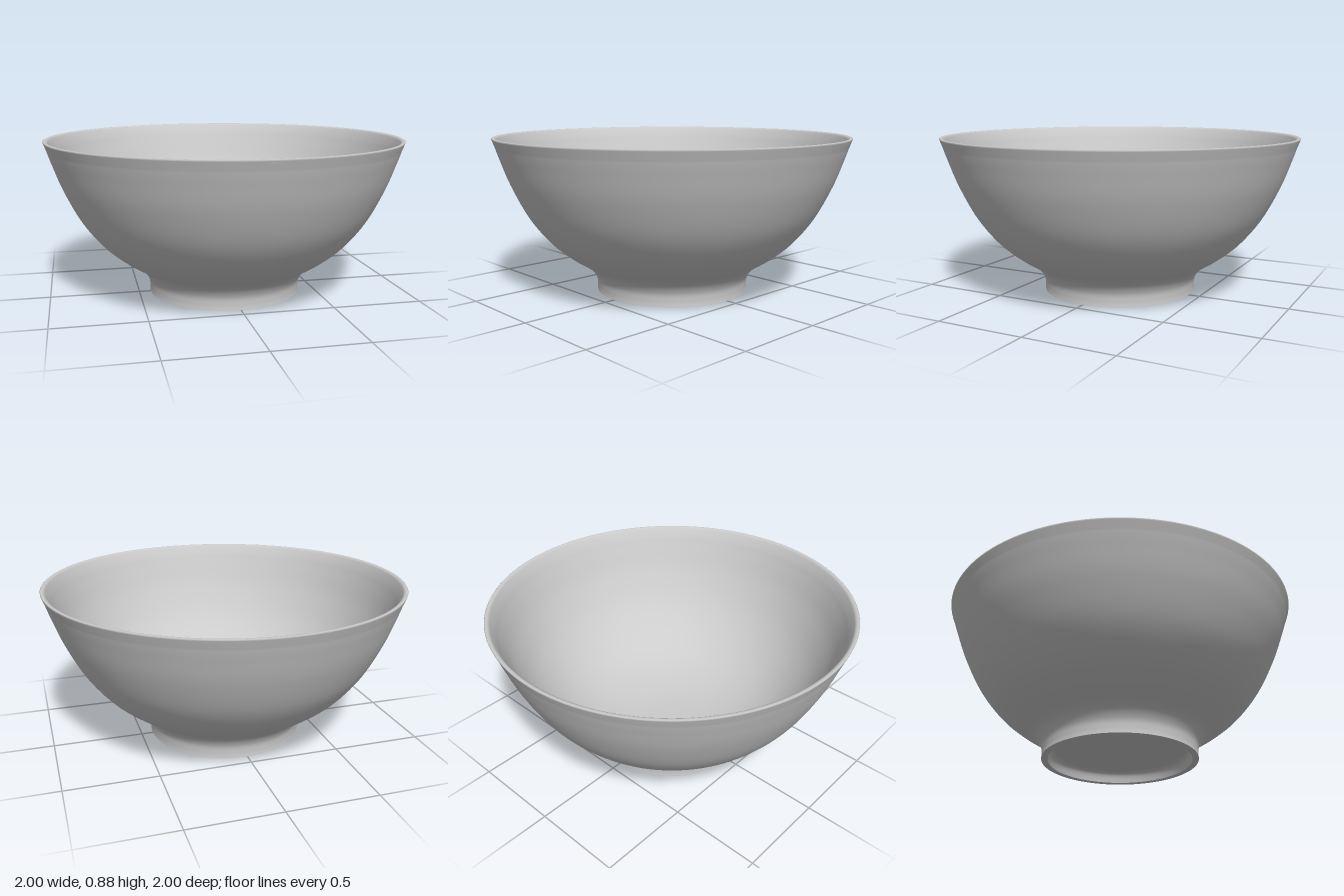
import * as THREE from 'three';

const v = (x, y) => new THREE.Vector2(x, y);
const spline = (pairs, n) => new THREE.SplineCurve(pairs.map(([x, y]) => v(x, y))).getPoints(n);

export function createModel() {
  const group = new THREE.Group();
  const material = new THREE.MeshStandardMaterial({ color: 0xcccccc });
  const add = (name, points) => {
    const mesh = new THREE.Mesh(new THREE.LatheGeometry(points, 128), material);
    mesh.name = name;
    group.add(mesh);
  };

  // Recessed underside, curving down to the foot ring
  add('underside', [v(0, 0.065), v(0.36, 0.065),
    ...spline([[0.37, 0.063], [0.385, 0.05], [0.394, 0.03], [0.4, 0]], 10)]);

  // Flat ring the bowl stands on
  add('footRing', [v(0.4, 0), v(0.435, 0)]);

  // Foot flaring into the outer wall
  const outer = spline([[0.435, 0], [0.434, 0.03], [0.44, 0.075], [0.47, 0.125], [0.52, 0.165],
    [0.594, 0.212], [0.705, 0.305], [0.815, 0.445], [0.905, 0.62], [0.96, 0.765], [0.982, 0.83]], 56);
  // Rounded lip
  const lip = [v(0.998, 0.872), v(1, 0.879), v(0.996, 0.882), v(0.984, 0.881), v(0.972, 0.872)];
  // Inner wall running down to the floor
  const inner = spline([[0.95, 0.82], [0.925, 0.755], [0.87, 0.62], [0.78, 0.46], [0.67, 0.33],
    [0.55, 0.235], [0.4, 0.165], [0.2, 0.12], [0, 0.11]], 44);
  add('bowl', [...outer, ...lip, ...inner]);

  return group;
}
